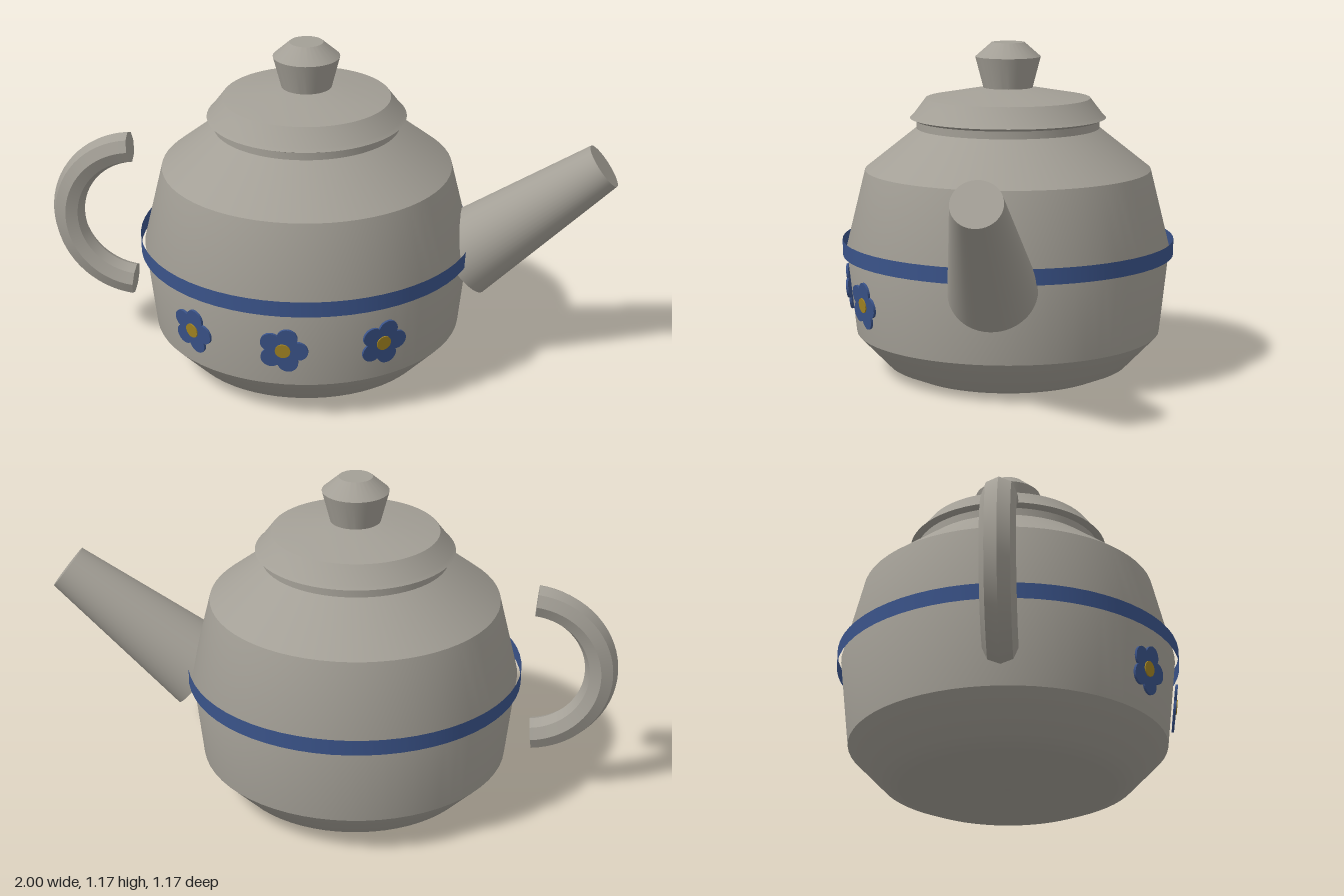
import * as THREE from 'three';
import { toCreasedNormals } from 'three/addons/utils/BufferGeometryUtils.js';

const CREASE = 0.5;
const BODY_X = -0.08;

function flat(name, color, side = THREE.FrontSide) {
  const m = new THREE.MeshStandardMaterial({ color, side });
  m.name = name;
  return m;
}

function mesh(name, geometry, material, x = 0, y = 0, z = 0) {
  const m = new THREE.Mesh(geometry, material);
  m.name = name;
  m.position.set(x, y, z);
  return m;
}

// Revolved profile of [radius, height] pairs, bottom to top
function turned(profile) {
  const points = profile.map(([r, y]) => new THREE.Vector2(r, y));
  return toCreasedNormals(new THREE.LatheGeometry(points, 64), CREASE);
}

// Outline of five overlapping round petals
function flowerShape(distance, radius) {
  const points = [];
  const perPetal = 16;
  for (let i = 0; i < 5 * perPetal; i++) {
    const angle = (i / perPetal) * (Math.PI * 2 / 5);
    const off = ((i + perPetal / 2) % perPetal - perPetal / 2) / perPetal * (Math.PI * 2 / 5);
    const r = distance * Math.cos(off) + Math.sqrt(radius ** 2 - (distance * Math.sin(off)) ** 2);
    points.push(new THREE.Vector2(r * Math.cos(angle), r * Math.sin(angle)));
  }
  return new THREE.Shape(points);
}

export function createModel() {
  const model = new THREE.Group();
  model.name = 'teapot';
  const clay = flat('grey glaze', 0xa39f96);
  const blue = flat('blue paint', 0x3a5389, THREE.DoubleSide);
  const yellow = flat('yellow paint', 0xa38422);

  // Body with neck
  model.add(mesh('body', turned([
    [0, 0], [0.36, 0], [0.43, 0.03], [0.54, 0.145], [0.573, 0.45],
    [0.505, 0.725], [0.322, 0.87], [0.322, 0.9],
  ]), clay, BODY_X));

  // Lid with a narrow flange
  model.add(mesh('lid', turned([
    [0, 0.897], [0.325, 0.897], [0.345, 0.906], [0.334, 0.917],
    [0.29, 0.975], [0.085, 1.012], [0, 1.012],
  ]), clay, BODY_X));

  // Flared knob
  model.add(mesh('knob', turned([
    [0, 1.005], [0.085, 1.005], [0.115, 1.12], [0.058, 1.17], [0, 1.17],
  ]), clay, BODY_X));

  // Painted hoop around the waist
  model.add(mesh('band',
    new THREE.CylinderGeometry(0.587, 0.587, 0.055, 64, 1, true), blue, BODY_X, 0.4525, 0));

  // Tapered spout, built between its base and tip centres
  const base = new THREE.Vector3(0.463, 0.4, 0);
  const tip = new THREE.Vector3(0.944, 0.77, 0);
  const axis = tip.clone().sub(base);
  const spout = mesh('spout', new THREE.CylinderGeometry(0.083, 0.15, axis.length(), 48), clay);
  spout.position.copy(base).add(tip).multiplyScalar(0.5);
  spout.quaternion.setFromUnitVectors(new THREE.Vector3(0, 1, 0), axis.normalize());
  model.add(spout);

  // Eight-sided C handle with closed ends
  const handle = new THREE.Group();
  handle.name = 'handle';
  handle.position.set(-0.684, 0.49, 0);
  const ring = 0.26, tube = 0.057, start = Math.PI * 0.533;
  const arc = 2 * (Math.PI - start);
  const grip = mesh('handleGrip',
    toCreasedNormals(new THREE.TorusGeometry(ring, tube, 8, 32, arc), CREASE), clay);
  grip.rotation.z = start;
  handle.add(grip);
  for (const [angle, turn] of [[start, Math.PI / 2], [start + arc, -Math.PI / 2]]) {
    const cap = mesh('handleEnd', new THREE.CircleGeometry(tube, 8), clay,
      ring * Math.cos(angle), ring * Math.sin(angle), 0);
    cap.rotation.order = 'ZYX';
    cap.rotation.set(turn, 0, angle);
    handle.add(cap);
  }
  model.add(handle);

  // Three painted flowers across the front
  const petals = new THREE.ExtrudeGeometry(flowerShape(0.05, 0.035), { depth: 0.008, bevelEnabled: false });
  const centre = new THREE.CylinderGeometry(0.026, 0.026, 0.004, 24).rotateX(Math.PI / 2);
  for (const angle of [-0.605, 0, 0.605]) {
    const flower = new THREE.Group();
    flower.name = 'flower';
    flower.rotation.order = 'YXZ';
    flower.rotation.set(0.108, angle, 0);
    flower.position.set(BODY_X + 0.563 * Math.sin(angle), 0.29, 0.563 * Math.cos(angle));
    flower.add(mesh('petals', petals, blue), mesh('flowerCentre', centre, yellow, 0, 0, 0.01));
    model.add(flower);
  }
  return model;
}
